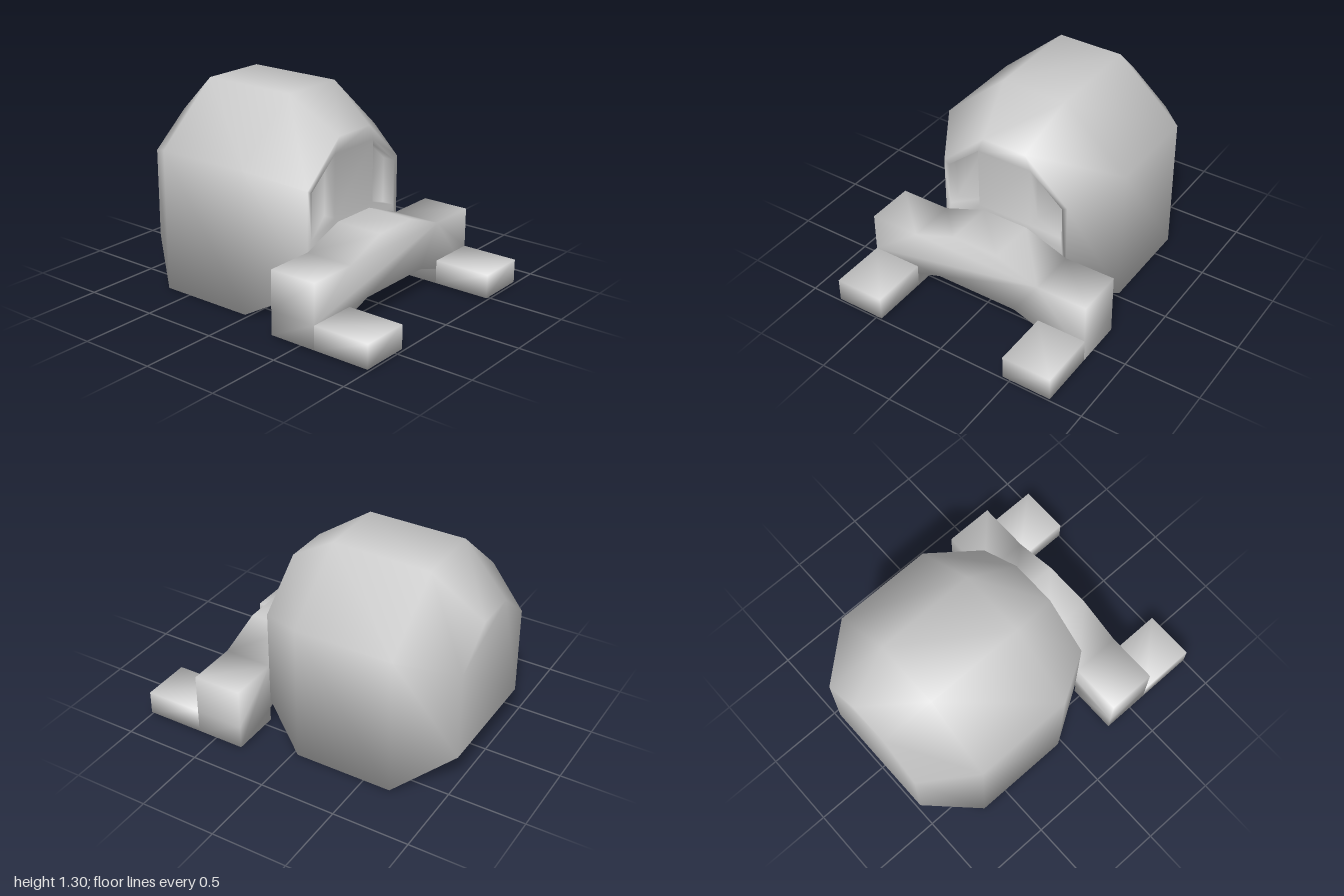
import * as THREE from 'three';
import { mergeVertices, mergeGeometries } from 'three/addons/utils/BufferGeometryUtils.js';

const material = new THREE.MeshStandardMaterial({ color: 0xcccccc });

// Weld all corners and average the normals over them
function smooth(geometry) {
  geometry.deleteAttribute('normal');
  geometry.deleteAttribute('uv');
  const g = mergeVertices(geometry, 1e-3);
  g.computeVertexNormals();
  return g;
}

function addMesh(parent, name, geometry) {
  const mesh = new THREE.Mesh(geometry, material);
  mesh.name = name;
  parent.add(mesh);
}

// Profiles are [u, y] with u = -z, counter-clockwise seen from +x
const points = (profile) => profile.map(([u, y]) => new THREE.Vector2(u, y));

function cap(x, profile, holes = []) {
  const shape = new THREE.Shape(points(profile));
  holes.forEach((h) => shape.holes.push(new THREE.Path(points(h))));
  const g = new THREE.ShapeGeometry(shape).rotateY(Math.PI / 2).translate(x, 0, 0).toNonIndexed();
  g.deleteAttribute('normal');
  g.deleteAttribute('uv');
  return g;
}

// Wall between two profiles at xa and xb; faces outward when xa < xb
function wall(xa, a, xb, b) {
  const pos = [];
  a.forEach((p, i) => {
    const j = (i + 1) % a.length;
    const A = [xa, p[1], -p[0]], B = [xa, a[j][1], -a[j][0]];
    const C = [xb, b[j][1], -b[j][0]], D = [xb, b[i][1], -b[i][0]];
    pos.push(...A, ...B, ...C, ...A, ...C, ...D);
  });
  return new THREE.BufferGeometry().setAttribute('position', new THREE.Float32BufferAttribute(pos, 3));
}

// Six-sided section: narrow top, shoulders, flat bottom
const section = (topW, topY, sideW, sideY, lowY) => [
  [topW, topY], [-topW, topY], [-sideW, sideY], [-sideW, lowY], [sideW, lowY], [sideW, sideY],
];

function bodyGeometry() {
  const back = section(0.14, 1.02, 0.4, 0.8, 0.21);
  const mid = section(0.22, 1.3, 0.65, 0.92, 0);
  const front = section(0.15, 1.08, 0.45, 0.81, 0.17);
  const eye = [[0.19, 0.57], [0.415, 0.49], [0.415, 0.79], [0.19, 0.98]];
  const eyes = [eye, eye.map(([u, y]) => [-u, y]).reverse()];
  const floorX = 0.22;

  const backCap = cap(0, back).rotateY(Math.PI).translate(-1, 0, 0);
  const parts = [
    backCap,
    wall(-1, back, -0.68, mid),
    wall(-0.68, mid, -0.03, mid),
    wall(-0.03, mid, 0.3, front),
    cap(0.3, front, eyes),
  ];
  // Recessed eye sockets
  for (const e of eyes) parts.push(wall(0.3, e, floorX, e), cap(floorX, e));
  return smooth(mergeGeometries(parts));
}

// Arched slab whose ends drop down into the two legs
function armsGeometry() {
  const half = [
    [0.28, 0.17], [0.455, 0.11], [0.455, 0.015], [0.785, 0.015],
    [0.785, 0.17], [0.785, 0.43], [0.45, 0.43], [0.16, 0.54],
  ];
  const outline = [...half, ...half.map(([u, y]) => [-u, y]).reverse()];
  const g = new THREE.ExtrudeGeometry(new THREE.Shape(points(outline)), {
    depth: 0.32, bevelEnabled: false,
  });
  return smooth(g.rotateY(Math.PI / 2).translate(0.3, 0, 0));
}

export function createModel() {
  const model = new THREE.Group();
  model.name = 'creature';
  addMesh(model, 'body', bodyGeometry());
  addMesh(model, 'arms', armsGeometry());
  // Feet reaching forward from each leg
  for (const side of [1, -1]) {
    const foot = new THREE.BoxGeometry(0.38, 0.155, 0.33).translate(0.81, 0.0925, side * 0.62);
    addMesh(model, side > 0 ? 'footFront' : 'footBack', smooth(foot));
  }
  return model;
}
